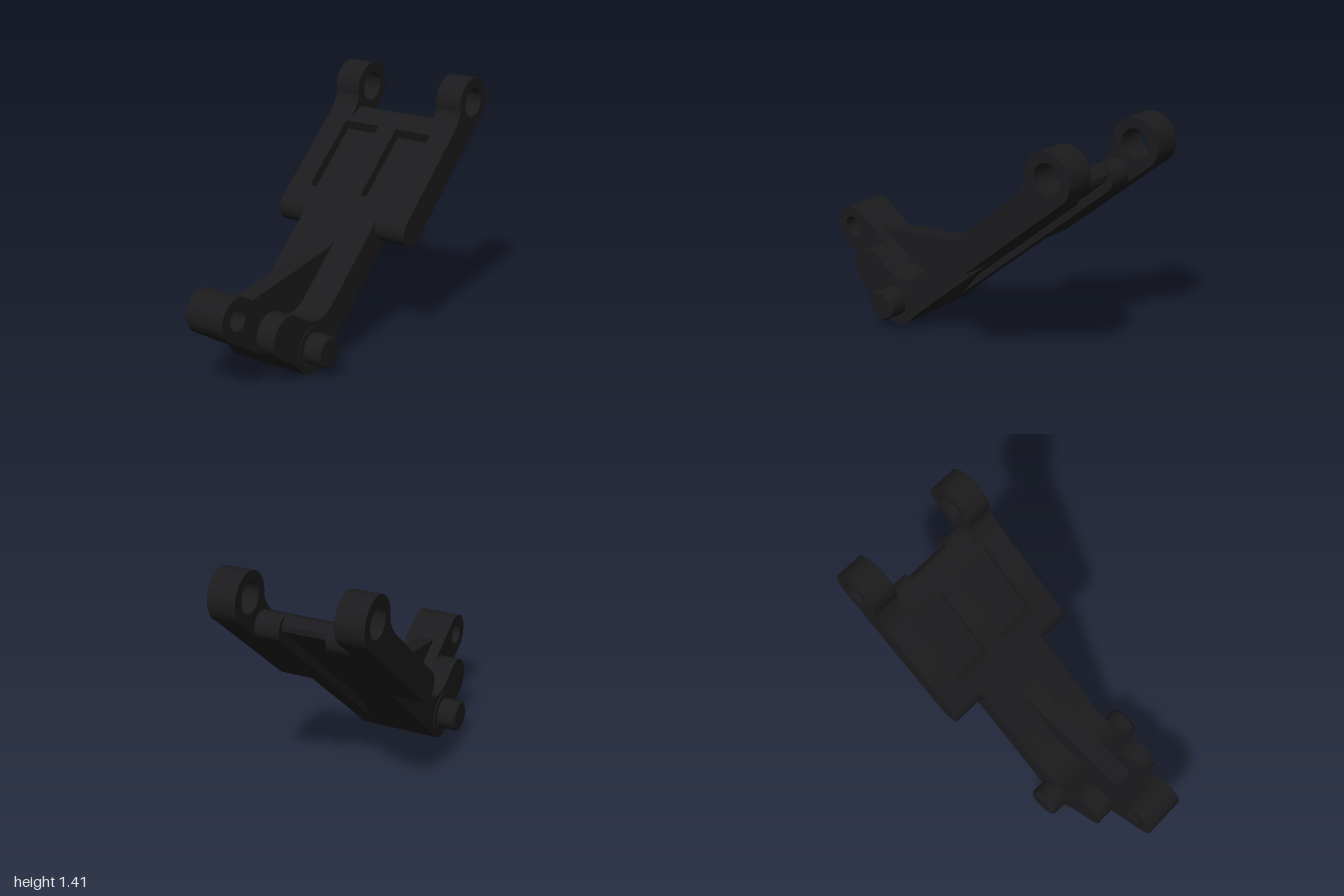
import * as THREE from 'three';
import { toCreasedNormals } from 'three/addons/utils/BufferGeometryUtils.js';

const TILT = THREE.MathUtils.degToRad(41.5);   // slope of the long arm
const BACK = THREE.MathUtils.degToRad(148.8);  // slope of the short arm
const Q = Math.PI / 2;
const HUB = [-0.41, 0.15], PLATE = [0.247, 0.655];
const R = 0.085;                               // half thickness of the long arm
const GROOVE = -0.036;                         // height of the groove's ceiling

// Point measured along (s) and across (t) a sloped axis
const along = ([x, y], a, s, t) => [x + s * Math.cos(a) - t * Math.sin(a), y + s * Math.sin(a) + t * Math.cos(a)];
const longArm = (s, t) => along(PLATE, TILT, s, t);
const shortArm = (u, v) => along(HUB, BACK, u, -v);

export function createModel() {
  const model = new THREE.Group();
  model.name = 'rockerLever';
  const material = new THREE.MeshStandardMaterial({ color: 0x1b1b1d });

  function slab(name, shape, z0, z1, parent = model) {
    const geo = new THREE.ExtrudeGeometry(shape, { depth: z1 - z0, bevelEnabled: false, curveSegments: 20 });
    geo.translate(0, 0, z0);
    const mesh = new THREE.Mesh(toCreasedNormals(geo, 0.6), material);
    mesh.name = name;
    parent.add(mesh);
  }
  function slabPair(name, shape, z0, z1, parent) {
    slab(name + 'Left', shape, z0, z1, parent);
    slab(name + 'Right', shape, -z1, -z0, parent);
  }
  function hole(shape, x, y, r) {
    const path = new THREE.Path();
    path.absarc(x, y, r, 0, Math.PI * 2, true);
    shape.holes.push(path);
  }

  // Bent body: short arm, hub and long arm; the middle groove fades out at the hub
  function bodyShape(grooved) {
    const s = new THREE.Shape();
    s.moveTo(...shortArm(0.24, -0.12));
    s.lineTo(...shortArm(0.09, -0.12));
    s.absarc(...HUB, 0.15, BACK + Q, TILT - Q + Math.PI * 2, false);
    s.lineTo(...longArm(-0.7, -R));
    if (grooved) s.lineTo(...longArm(-0.45, GROOVE));
    s.lineTo(...longArm(0, grooved ? GROOVE : -R));
    s.lineTo(...longArm(0, R));
    s.lineTo(...longArm(-0.57, R));
    s.quadraticCurveTo(...longArm(-0.708, R), ...shortArm(0.13, 0.12));
    s.lineTo(...shortArm(0.24, 0.12));
    s.absarc(...shortArm(0.24, 0), 0.12, BACK - Q, BACK + Q, false);
    return s;
  }
  slab('bodyCentre', bodyShape(true), -0.13, 0.13);
  slabPair('bodySide', bodyShape(false), 0.13, 0.237);

  // Narrow lug at the end of the short arm
  const eye = [-0.88, 0.434];
  const eyeShape = new THREE.Shape();
  eyeShape.absarc(...eye, 0.12, BACK - Q, BACK + Q, false);
  eyeShape.lineTo(...shortArm(0.2, -0.12));
  eyeShape.lineTo(...shortArm(0.2, 0.12));
  hole(eyeShape, ...eye, 0.06);
  slab('shortArmEye', eyeShape, -0.12, 0.12);

  // Thin web bracing the inside of the bend
  const web = new THREE.Shape([[-0.72, 0.46], [-0.68, 0.42], [-0.46, 0.3], [-0.34, 0.28], [-0.22, 0.33],
    [0.06, 0.56], [0.05, 0.588], [-0.02, 0.56], [-0.64, 0.468]].map(p => new THREE.Vector2(...p)));
  slab('web', web, -0.052, 0.052);

  // Chamfered pivot pin and a collar on each side
  for (const side of [1, -1]) {
    for (const [name, r, z0, z1] of [['pivotPin', 0.088, 0.23, 0.35], ['pivotCollar', 0.125, 0.23, 0.243]]) {
      const c = (z1 - z0) * 0.08;
      const profile = [[r, z0], [r, z1 - c], [r - c, z1], [0, z1]].map(p => new THREE.Vector2(...p));
      const mesh = new THREE.Mesh(toCreasedNormals(new THREE.LatheGeometry(profile, 32), 0.6), material);
      mesh.name = name + (side > 0 ? 'Left' : 'Right');
      mesh.rotation.x = side * Q;
      mesh.position.set(...HUB, 0);
      model.add(mesh);
    }
  }

  // Wide forked plate, built in the long arm's own frame
  const fork = new THREE.Group();
  fork.name = 'forkPlate';
  fork.position.set(...PLATE, 0);
  fork.rotation.z = TILT;
  model.add(fork);
  const END = 0.662, TIP = 0.075, FLOOR = 0.03;

  function plateShape(grooved, pocketed) {
    const s = new THREE.Shape();
    if (grooved) {
      s.moveTo(-R * 0.9, GROOVE);
      s.lineTo(0.695, GROOVE);
      s.lineTo(0.716, -0.012);
    } else {
      s.absarc(0, 0, R, Math.PI, Math.PI * 1.5, false);
      s.absarc(END, -0.01, TIP, -Q, 0, false);
    }
    s.absarc(END, -0.01, TIP, grooved ? 0.8 : 0, Q, false);
    s.lineTo(0.61, R);
    if (pocketed) {
      s.lineTo(0.575, R);
      s.lineTo(0.555, FLOOR);
      s.lineTo(0.128, FLOOR);
      s.lineTo(0.108, R);
    }
    s.absarc(0, 0, R, Q, Math.PI, false);
    return s;
  }
  slab('plateSpine', plateShape(true, false), -0.06, 0.06, fork);
  slabPair('pocketInner', plateShape(true, true), 0.06, 0.13, fork);
  slabPair('pocketOuter', plateShape(false, true), 0.13, 0.29, fork);
  slabPair('plateEdge', plateShape(false, false), 0.29, 0.427, fork);

  // Fork lugs with a filleted neck
  const lug = new THREE.Shape();
  lug.moveTo(0.6, -R);
  lug.lineTo(0.86, -R);
  lug.absarc(0.86, 0.054, 0.141, -Q, Math.PI * 0.84, false);
  lug.quadraticCurveTo(0.7, R + 0.005, 0.61, R);
  lug.lineTo(0.6, R);
  hole(lug, 0.86, 0.054, 0.083);
  slabPair('forkLug', lug, 0.268, 0.427, fork);

  return model;
}
